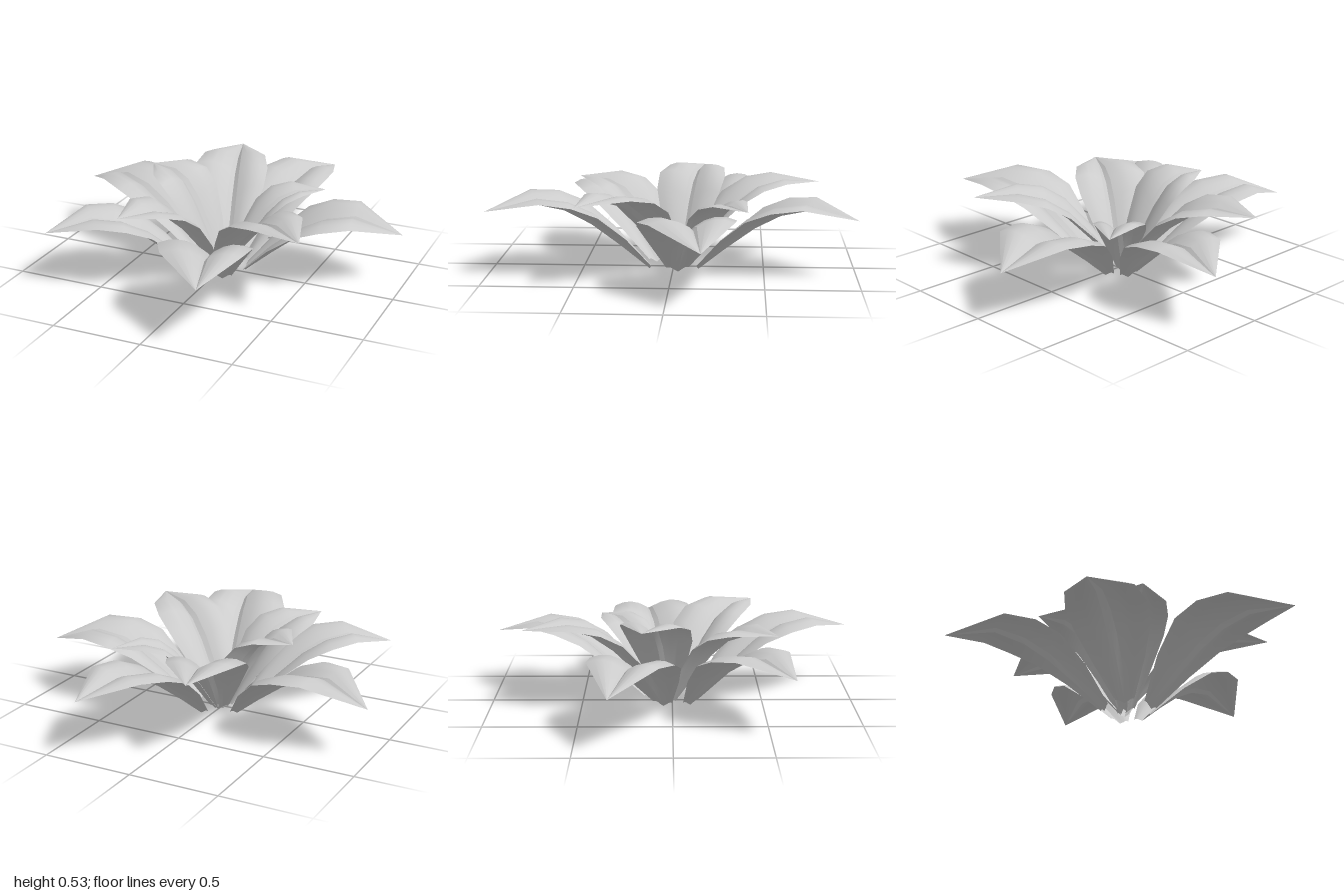
import * as THREE from 'three';
import { mergeGeometries } from 'three/addons/utils/BufferGeometryUtils.js';

// Stations along a leaf:
// [distance, width, midrib height, edge lift, blade camber, groove width, groove depth]
const STATIONS = [
  [0.00, 0.24, 0.00, 0.010, 0.005, 0.020, 0.012],
  [0.18, 0.66, 0.38, 0.040, 0.018, 0.024, 0.024],
  [0.36, 0.95, 0.71, 0.045, 0.030, 0.026, 0.027],
  [0.52, 1.00, 0.91, 0.025, 0.032, 0.024, 0.024],
  [0.70, 0.84, 1.00, 0.012, 0.025, 0.018, 0.018],
  [1.00, 0.00, 0.00, 0.000, 0.000, 0.000, 0.000],
];

// Leaves: base x, z / tip x, y, z / crest height / half-width on each side
const OUTER = [
  [0.06, -0.14, 0.31, 0.33, -1.00, 0.42, 0.23, 0.21],
  [0.13, -0.03, 0.985, 0.30, -0.18, 0.41, 0.25, 0.27],
  [0.06, 0.13, 0.31, 0.36, 1.00, 0.44, 0.22, 0.27],
  [-0.10, 0.10, -0.76, 0.32, 0.62, 0.41, 0.22, 0.22],
  [-0.12, -0.05, -0.99, 0.29, -0.32, 0.41, 0.21, 0.25],
];
const INNER = [
  [0.00, -0.05, -0.22, 0.45, -0.81, 0.49, 0.235, 0.19],
  [0.02, -0.05, 0.46, 0.40, -0.41, 0.44, 0.16, 0.12],
  [-0.01, 0.00, 0.635, 0.45, 0.475, 0.49, 0.21, 0.18],
  [-0.02, 0.02, -0.35, 0.45, 0.56, 0.48, 0.18, 0.225],
  [-0.02, -0.03, -0.50, 0.50, -0.16, 0.53, 0.20, 0.19],
];

// Lofts one smooth strip through rows of points
function strip(rows) {
  const n = rows[0].length;
  const index = [];
  for (let i = 0; i < rows.length - 1; i++) {
    for (let j = 0; j < n - 1; j++) {
      const a = i * n + j, b = a + 1, c = a + n, d = c + 1;
      index.push(a, b, c, b, d, c);
    }
  }
  const g = new THREE.BufferGeometry();
  g.setAttribute('position', new THREE.Float32BufferAttribute(rows.flat(2), 3));
  g.setIndex(index);
  g.computeVertexNormals();
  return g;
}

function leafGeometry([bx, bz, tx, ty, tz, crest, wLeft, wRight]) {
  const length = Math.hypot(tx - bx, tz - bz);
  const dx = (tx - bx) / length, dz = (tz - bz) / length;
  const baseY = 0.012;

  // Half a leaf: arched rows from the groove out to the leaf edge
  const blade = (side, half) => STATIONS.map(([t, w, h, lift, camber, gw]) => {
    const y = t === 1 ? ty : baseY + (crest - 0.032 - baseY) * h;
    const width = Math.max(w * half, gw);
    return [0, 0.25, 0.5, 0.75, 1].map((u) => {
      const across = side * (gw + (width - gw) * u);
      const up = (lift * u + camber * 4 * u * (1 - u)) * (half / 0.22);
      return [bx + dx * t * length - dz * across, y + up, bz + dz * t * length + dx * across];
    });
  });
  const left = blade(-1, wLeft), right = blade(1, wRight);
  const mid = STATIONS.map(([t, , , , , , depth], i) => [
    bx + dx * t * length, left[i][0][1] - depth, bz + dz * t * length,
  ]);

  // Separate strips keep the midrib creases sharp
  return mergeGeometries([
    strip(left.map((r) => [...r].reverse())),
    strip(left.map((r, i) => [r[0], mid[i]])),
    strip(right.map((r, i) => [mid[i], r[0]])),
    strip(right),
  ]);
}

export function createModel() {
  const model = new THREE.Group();
  model.name = 'leafRosette';
  const material = new THREE.MeshStandardMaterial({ color: 0xcccccc, side: THREE.DoubleSide });

  for (const [name, leaves] of [['outerLeaf', OUTER], ['innerLeaf', INNER]]) {
    leaves.forEach((leaf, i) => {
      const mesh = new THREE.Mesh(leafGeometry(leaf), material);
      mesh.name = name + (i + 1);
      model.add(mesh);
    });
  }
  return model;
}
